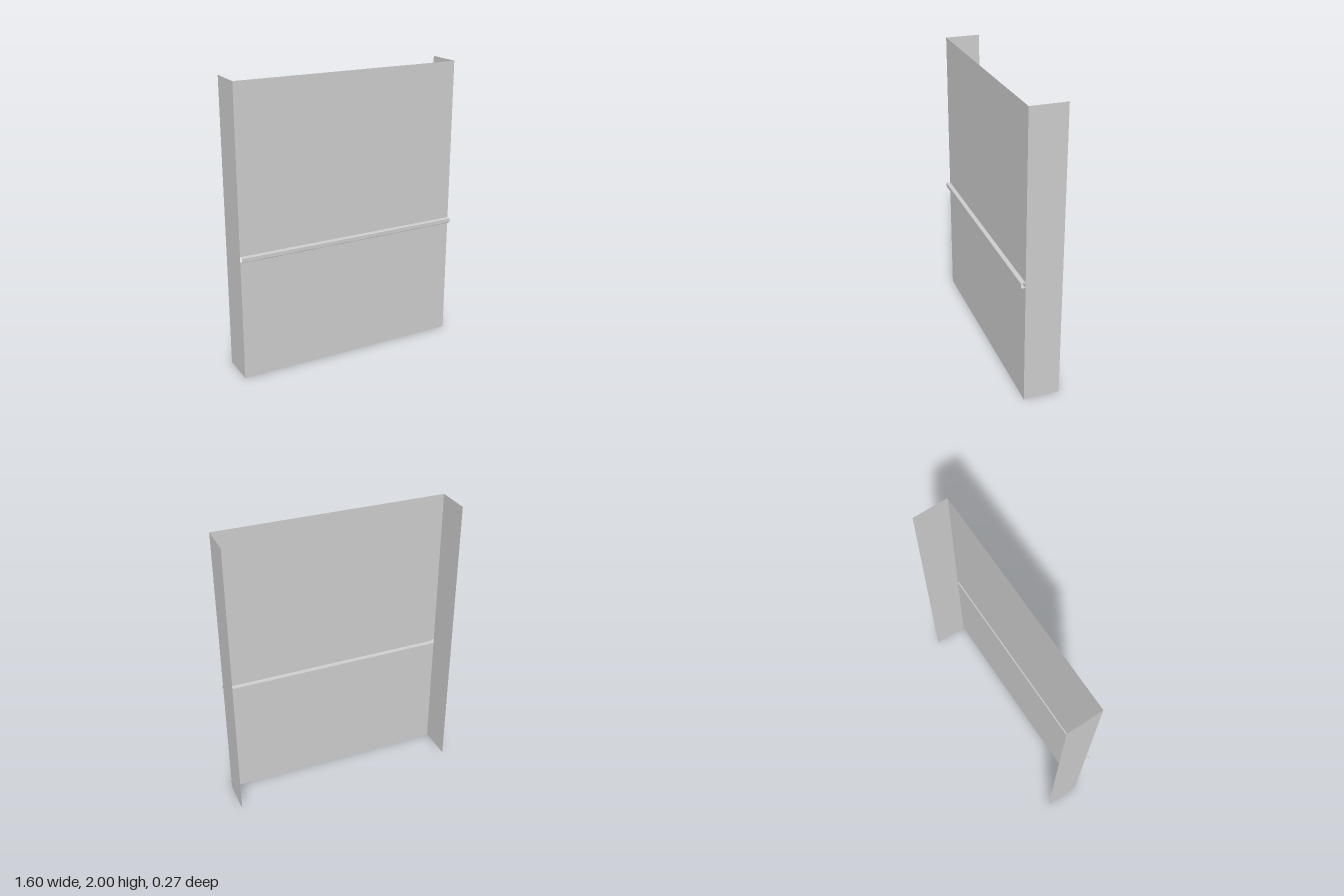
import * as THREE from 'three';

const HALF_W = 0.8, HEIGHT = 2, FRONT = 0.108, BACK = -0.138;
const BEAD_LOW = 0.843, BEAD_HIGH = 0.877, BEAD_Z = 0.137, BEND = 0.005;

const material = new THREE.MeshStandardMaterial({
  color: 0xcccccc, side: THREE.DoubleSide, flatShading: true,
});

// Thin sheet: a [y, z] profile, listed bottom to top, swept across the width
function sweptSheet(name, profile) {
  const positions = [], indices = [];
  profile.forEach(([y, z], i) => {
    positions.push(-HALF_W, y, z, HALF_W, y, z);
    if (i > 0) {
      const a = 2 * (i - 1);
      indices.push(a, a + 1, a + 3, a, a + 3, a + 2);
    }
  });
  const geometry = new THREE.BufferGeometry();
  geometry.setAttribute('position', new THREE.Float32BufferAttribute(positions, 3));
  geometry.setIndex(indices);
  geometry.computeVertexNormals();
  const mesh = new THREE.Mesh(geometry, material);
  mesh.name = name;
  return mesh;
}

export function createModel() {
  const model = new THREE.Group();
  model.name = 'foldedPanel';

  // Face sheet, above and below the pressed rail
  model.add(sweptSheet('lowerFace', [[0, FRONT], [BEAD_LOW, FRONT]]));
  model.add(sweptSheet('upperFace', [[BEAD_HIGH, FRONT], [HEIGHT, FRONT]]));

  // Hollow rail with softened front bends, open at both ends
  const rail = [[BEAD_LOW, FRONT]];
  for (let i = 0; i <= 3; i++) {
    const a = (i / 3) * Math.PI / 2;
    rail.push([BEAD_LOW + BEND * (1 - Math.sin(a)), BEAD_Z - BEND * (1 - Math.cos(a))]);
  }
  // Order the lower bend from wall to front, then mirror it for the upper bend
  const lower = [rail[0], ...rail.slice(1).reverse().map(([y, z]) => [y, z])];
  lower.sort((p, q) => p[1] - q[1] || p[0] - q[0]);
  const upper = lower.map(([y, z]) => [BEAD_LOW + BEAD_HIGH - y, z]).reverse();
  model.add(sweptSheet('rail', [...lower, ...upper]));

  // Side flanges folded straight back
  for (const side of [-1, 1]) {
    const flange = new THREE.Mesh(new THREE.PlaneGeometry(FRONT - BACK, HEIGHT), material);
    flange.name = side > 0 ? 'leftFlange' : 'rightFlange';
    flange.rotation.y = side * Math.PI / 2;
    flange.position.set(side * HALF_W, HEIGHT / 2, (FRONT + BACK) / 2);
    model.add(flange);
  }
  return model;
}
